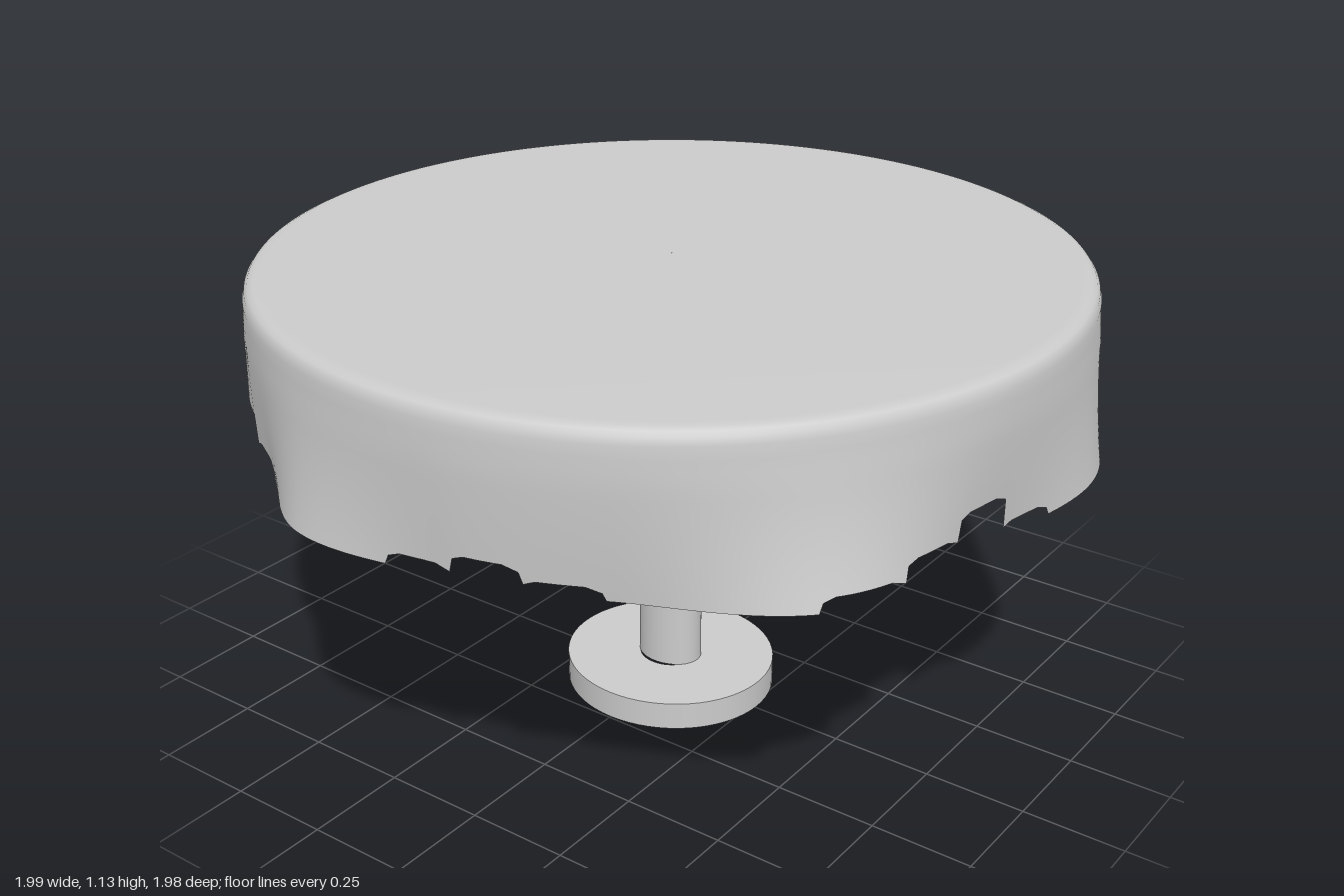
import * as THREE from 'three';

const mat = new THREE.MeshStandardMaterial({ color: 0xcccccc, side: THREE.DoubleSide });

// Hem radius [degrees from +x towards +z, radius], blended smoothly around the cloth
const FLARE = [[-180, 0.985], [-150, 0.96], [-116, 1.0], [-88, 0.965], [-60, 1.01], [-40, 0.955], [-14, 1.015],
  [10, 0.96], [35, 1.04], [62, 0.955], [82, 0.965], [104, 1.02], [120, 0.965], [137, 0.99], [150, 0.985],
  [168, 1.015], [180, 0.985]];

// Torn stretches of the hem: [from, to, height]
const TEARS = [[-172, -160, 0.78], [-160, -150, 0.82], [-150, -135, 0.84], [-135, -126, 0.81], [-126, -117, 0.775],
  [-80, -65, 0.81], [-65, -57, 0.78], [0, 9, 0.78], [9, 18, 0.855], [18, 27, 0.81], [27, 38, 0.78],
  [62, 72, 0.78], [72, 81, 0.81], [81, 90, 0.78], [117, 126, 0.8]];

function hemRadius(deg) {
  const k = Math.max(1, FLARE.findIndex(p => p[0] >= deg));
  const [a, ra] = FLARE[k - 1], [b, rb] = FLARE[k];
  return THREE.MathUtils.lerp(ra, rb, THREE.MathUtils.smoothstep(deg, a, b));
}

function hemHeight(deg) {
  // one long arched tear
  if (deg > 126 && deg < 153) return 0.77 + 0.085 * Math.min(1, Math.sin(((153 - deg) / 18) * Math.PI / 2 * (deg > 135 ? 1 : 0) + (deg > 135 ? 0 : Math.PI / 2)));
  const tear = TEARS.find(t => deg >= t[0] && deg < t[1]);
  if (!tear) return 0.75;
  // rounded corners on each tear
  const edge = Math.min(deg - tear[0], tear[1] - deg);
  return tear[2] - 0.012 * Math.max(0, 1 - edge / 2);
}

// Cloth: flat top, rounded edge and a hanging skirt that flares in folds
function clothGeometry() {
  const cols = 720, skirtRows = 12;
  const top = [[0.001, 1.132], [0.5, 1.131], [0.93, 1.128], [0.95, 1.127], [0.962, 1.122], [0.97, 1.112], [0.975, 1.095]];
  const rows = top.length + skirtRows;
  const pos = [], index = [];
  for (let j = 0; j < rows; j++) {
    for (let i = 0; i < cols; i++) {
      const deg = -180 + (i * 360) / cols, a = THREE.MathUtils.degToRad(deg);
      let r, y;
      if (j < top.length) [r, y] = top[j];
      else {
        y = THREE.MathUtils.lerp(1.095, hemHeight(deg), (j - top.length + 1) / skirtRows);
        const t = (1.095 - y) / 0.345;
        r = THREE.MathUtils.lerp(0.975 + 0.005 * Math.min(1, t * 4), hemRadius(deg), Math.pow(t, 1.7));
      }
      pos.push(r * Math.cos(a), y, r * Math.sin(a) - 0.01);
      if (j < rows - 1) {
        const n = (i + 1) % cols, p = j * cols, q = p + cols;
        index.push(p + i, p + n, q + i, p + n, q + n, q + i);
      }
    }
  }
  const g = new THREE.BufferGeometry();
  g.setAttribute('position', new THREE.Float32BufferAttribute(pos, 3));
  g.setIndex(index);
  g.computeVertexNormals();
  return g;
}

export function createModel() {
  const model = new THREE.Group();
  const add = (name, geometry, parent = model) => {
    const mesh = new THREE.Mesh(geometry, mat);
    mesh.name = name;
    parent.add(mesh);
    return mesh;
  };
  const wall = (r, y0, y1) => new THREE.CylinderGeometry(r, r, y1 - y0, 64, 1, true).translate(0, (y0 + y1) / 2, 0);
  const disc = (r0, r1, y) => new THREE.RingGeometry(r0, r1, 64).rotateX(-Math.PI / 2).translate(0, y, 0);

  add('tablecloth', clothGeometry());

  // Table board under the cloth
  const board = new THREE.Group();
  board.name = 'tableTop';
  board.position.z = -0.01;
  add('boardUnderside', new THREE.CircleGeometry(0.945, 96).rotateX(Math.PI / 2).translate(0, 1.04, 0), board);
  add('boardEdge', wall(0.945, 1.04, 1.11), board);
  model.add(board);

  // Slightly oval hollow pedestal
  const column = add('column', wall(1, 0.07, 1.04));
  column.scale.set(0.083, 1, 0.066);
  column.position.z = -0.005;

  // Foot: a shallow cup, open below, with a hole where the column meets it
  const foot = new THREE.Group();
  foot.name = 'foot';
  foot.scale.set(0.265, 1, 0.25);
  foot.position.z = -0.005;
  add('footRim', wall(1, 0, 0.07), foot);
  add('footPlate', disc(0.29, 1, 0.07), foot);
  model.add(foot);

  return model;
}
